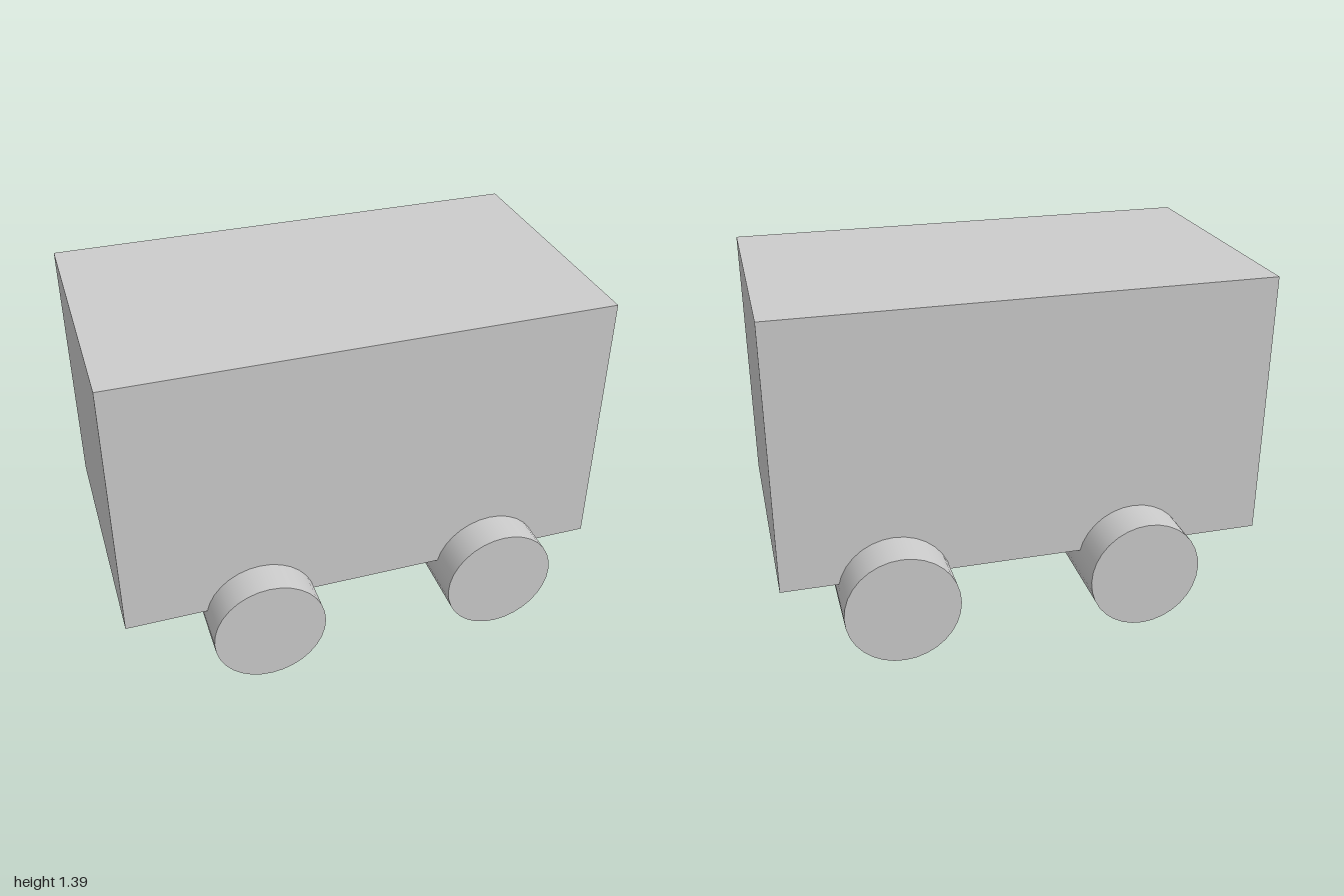
import * as THREE from 'three';

export function createModel() {
  const group = new THREE.Group();
  const material = new THREE.MeshStandardMaterial({ color: 0xcccccc });

  // Plain box body, set very slightly towards the front
  const body = new THREE.Mesh(new THREE.BoxGeometry(2, 1.11, 1.11), material);
  body.name = 'body';
  body.position.set(0, 0.837, 0.013);
  group.add(body);

  // Four wide wheels, partly sunk into the body
  const radius = 0.23, width = 0.46;
  const wheelGeometry = new THREE.CylinderGeometry(radius, radius, width, 32);
  wheelGeometry.rotateX(Math.PI / 2);
  for (const [side, x] of [['Right', -0.447], ['Left', 0.547]]) {
    for (const [end, z] of [['front', 0.48], ['back', -0.48]]) {
      const wheel = new THREE.Mesh(wheelGeometry, material);
      wheel.name = `${end}${side}Wheel`;
      wheel.position.set(x, radius, z);
      group.add(wheel);
    }
  }
  return group;
}
